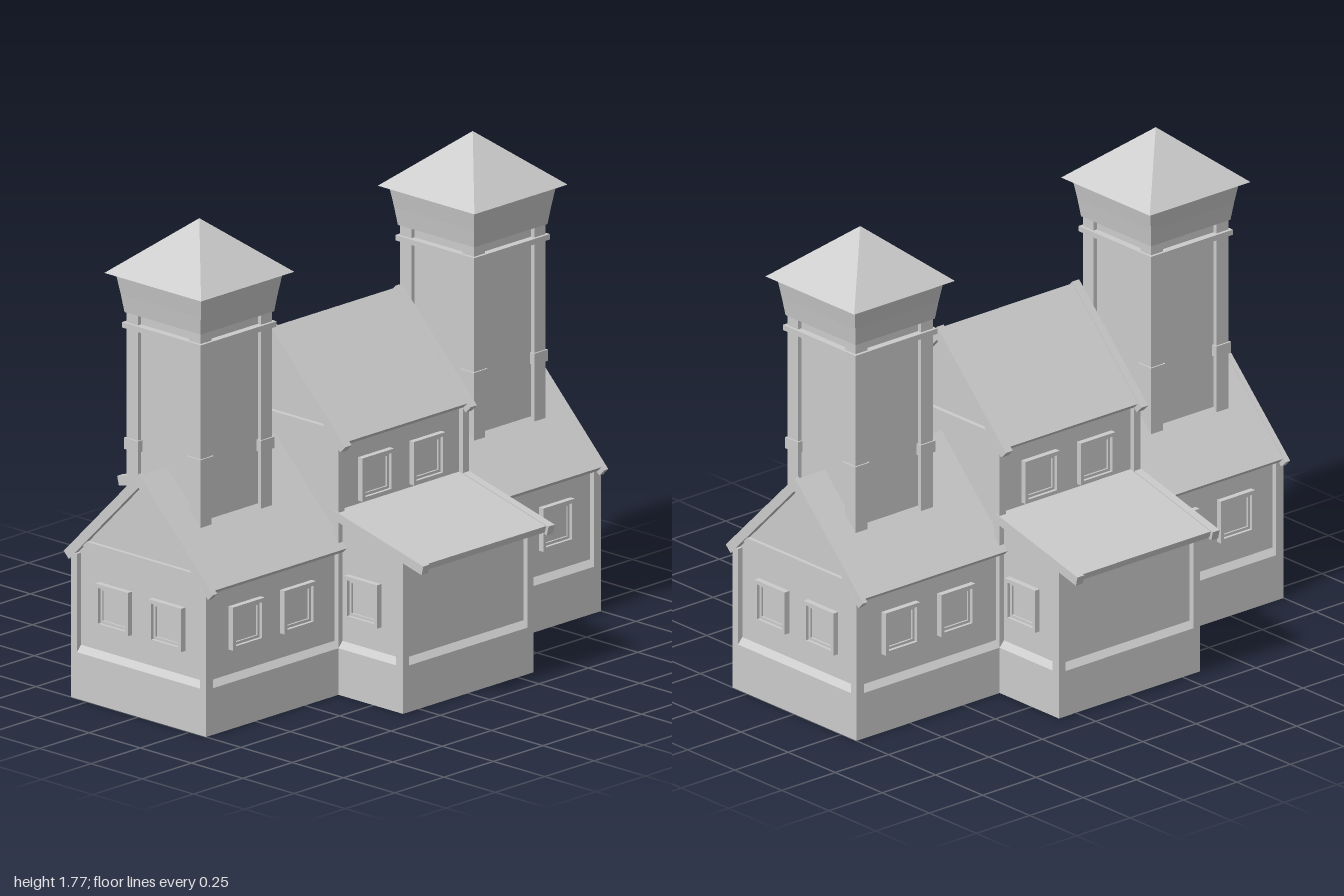
import * as THREE from 'three';

const mat = new THREE.MeshStandardMaterial({ color: 0xcccccc, flatShading: true, side: THREE.DoubleSide });

function add(parent, name, geometry) {
  const mesh = new THREE.Mesh(geometry, mat);
  mesh.name = name;
  parent.add(mesh);
  return mesh;
}

// Box given by its extents on each axis
function box(parent, name, [x0, x1], [y0, y1], [z0, z1]) {
  const g = new THREE.BoxGeometry(x1 - x0, y1 - y0, z1 - z0);
  g.translate((x0 + x1) / 2, (y0 + y1) / 2, (z0 + z1) / 2);
  return add(parent, name, g);
}

// Cross-section of [z, y] points swept along x
function sweepX(parent, name, points, x0, x1) {
  const shape = new THREE.Shape(points.map(([z, y]) => new THREE.Vector2(-z, y)));
  const g = new THREE.ExtrudeGeometry(shape, { depth: x1 - x0, bevelEnabled: false });
  g.rotateY(Math.PI / 2).translate(x0, 0, 0);
  return add(parent, name, g);
}

function squareShape(h) {
  return new THREE.Shape([[-h, -h], [h, -h], [h, h], [-h, h]].map(p => new THREE.Vector2(...p)));
}

// Square window facing +z before rotation
function addWindow(parent, x, y, z, turn = 0) {
  const win = new THREE.Group();
  win.name = 'window';
  for (const [name, outer, inner, depth] of [['windowFrame', 0.08, 0.066, 0.022], ['windowSash', 0.066, 0.056, 0.01]]) {
    const shape = squareShape(outer);
    shape.holes.push(squareShape(inner));
    add(win, name, new THREE.ExtrudeGeometry(shape, { depth, bevelEnabled: false }));
  }
  add(win, 'windowPane', new THREE.PlaneGeometry(0.112, 0.112)).position.z = 0.003;
  win.position.set(x, y, z);
  win.rotation.y = turn;
  parent.add(win);
}

// 45-degree chevron: ridge height, half span, thickness measured vertically
function chevron(ridge, span, t) {
  const e = span - t / 2, y = ridge - span - t / 2;
  return [[0, ridge], [span, ridge - span], [e, y], [0, ridge - t], [-e, y], [-span, ridge - span]];
}

function gableWall(parent, ridge, bottom, x0, x1) {
  const top = ridge - 0.03;
  sweepX(parent, 'gableWall',
    [[0.31, bottom], [0.31, top - 0.31], [0, top], [-0.31, top - 0.31], [-0.31, bottom]], x0, x1);
}

// Open-bottomed plinth following the cross-shaped plan, bevelled at its top
function plinth(parent) {
  const quarter = [[1, 0.33], [0.33, 0.33], [0.33, 0.645]];
  const plan = [
    ...quarter,
    ...quarter.map(([x, z]) => [-x, z]).reverse(),
    ...quarter.map(([x, z]) => [-x, -z]),
    ...quarter.map(([x, z]) => [x, -z]).reverse(),
  ];
  const rings = [[0, 0], [0.172, 0], [0.195, 0.02]].map(([y, inset]) =>
    plan.map(([x, z]) => [x - Math.sign(x) * inset, y, z - Math.sign(z) * inset]));
  const pos = [];
  for (let r = 0; r < rings.length - 1; r++) {
    for (let i = 0; i < plan.length; i++) {
      const j = (i + 1) % plan.length;
      const a = rings[r][i], b = rings[r][j], c = rings[r + 1][i], d = rings[r + 1][j];
      pos.push(...a, ...c, ...b, ...b, ...c, ...d);
    }
  }
  const g = new THREE.BufferGeometry();
  g.setAttribute('position', new THREE.Float32BufferAttribute(pos, 3));
  g.computeVertexNormals();
  add(parent, 'foundation', g);
}

// Four-sided frustum standing on y0
function frustum(parent, name, h0, h1, y0, y1, open = false) {
  const g = new THREE.CylinderGeometry(h1 * Math.SQRT2, h0 * Math.SQRT2, y1 - y0, 4, 1, open);
  g.rotateY(Math.PI / 4).translate(0, (y0 + y1) / 2, 0);
  return add(parent, name, g);
}

function tower() {
  const t = new THREE.Group();
  t.name = 'tower';
  box(t, 'towerShaft', [-0.165, 0.165], [0.69, 1.43], [-0.165, 0.165]);
  for (const sx of [-1, 1]) for (const sz of [-1, 1]) {
    const post = frustum(t, 'towerPost', 0.028, 0.028, 0.95, 1.43);
    post.position.set(sx * 0.153, 0, sz * 0.153);
    // Thicker foot tapering into the post
    const foot = frustum(t, 'towerPostFoot', 0.028, 0.028, 0.7, 0.92);
    foot.position.set(sx * 0.153, 0, sz * 0.153);
    const collar = frustum(t, 'towerPostCollar', 0.034, 0.034, 0.92, 0.962);
    collar.position.set(sx * 0.153, 0, sz * 0.153);
  }
  frustum(t, 'towerBand', 0.192, 0.192, 1.368, 1.388);
  frustum(t, 'capLower', 0.186, 0.195, 1.425, 1.49);
  frustum(t, 'capUpper', 0.195, 0.208, 1.49, 1.57);
  frustum(t, 'towerRoof', 0.236, 0.0001, 1.57, 1.77);
  return t;
}

// Gabled side wing reaching to +x
function wing() {
  const w = new THREE.Group();
  w.name = 'wing';
  sweepX(w, 'wingRoof', chevron(0.89, 0.35, 0.035), 0.31, 0.99);
  sweepX(w, 'wingBargeboard', chevron(0.897, 0.365, 0.05), 0.98, 1);
  gableWall(w, 0.89, 0.18, 0.97, 0.98);
  box(w, 'gableBeam', [0.975, 0.995], [0.568, 0.588], [-0.3, 0.3]);
  for (const s of [-1, 1]) {
    box(w, 'wingWall', [0.31, 0.98], [0.18, 0.555], [s * 0.305 - 0.005, s * 0.305 + 0.005]);
    box(w, 'cornerPost', [0.965, 1], [0.172, 0.535], [s * 0.315 - 0.015, s * 0.315 + 0.015]);
    for (const x of [0.525, 0.785]) addWindow(w, x, 0.367, s * 0.31, s > 0 ? 0 : Math.PI);
    addWindow(w, 0.98, 0.367, s * 0.13, Math.PI / 2);
  }
  const t = tower();
  t.position.x = 0.692;
  w.add(t);
  return w;
}

// Lean-to with a shallow roof on the +z side
function leanTo() {
  const p = new THREE.Group();
  p.name = 'leanTo';
  const roof = (z1, t, lift) => {
    const top = z => 0.672 + lift - (z - 0.33) * 0.25;
    return [[0.31, top(0.31)], [z1, top(z1)], [z1 - t * 0.25, top(z1) - t], [0.31, top(0.31) - t]];
  };
  sweepX(p, 'leanToRoof', roof(0.735, 0.024, -0.004), -0.32, 0.32);
  box(p, 'leanToWall', [-0.31, 0.31], [0.18, 0.585], [0.615, 0.625]);
  for (const s of [-1, 1]) {
    sweepX(p, 'leanToBargeboard', roof(0.747, 0.034, 0), s * 0.317 - 0.016, s * 0.317 + 0.016);
    sweepX(p, 'leanToSideWall', [[0.31, 0.18], [0.625, 0.18], [0.625, 0.58], [0.31, 0.66]],
      s * 0.305 - 0.005, s * 0.305 + 0.005);
    box(p, 'leanToPost', [s * 0.315 - 0.015, s * 0.315 + 0.015], [0.172, 0.575], [0.61, 0.645]);
    addWindow(p, s * 0.31, 0.367, 0.44, s * Math.PI / 2);
    addWindow(p, s * 0.13, 0.765, 0.31);
  }
  return p;
}

// Tall gabled block in the middle
function centreBlock() {
  const c = new THREE.Group();
  c.name = 'centreBlock';
  sweepX(c, 'centreRoof', chevron(1.283, 0.35, 0.035), -0.32, 0.32);
  for (const s of [-1, 1]) {
    sweepX(c, 'centreBargeboard', chevron(1.29, 0.367, 0.05), s * 0.317 - 0.016, s * 0.317 + 0.016);
    gableWall(c, 1.283, 0.5, s * 0.305 - 0.005, s * 0.305 + 0.005);
    box(c, 'gableBeam', [s * 0.315 - 0.012, s * 0.315 + 0.012], [0.955, 0.975], [-0.3, 0.3]);
    box(c, 'centreWall', [-0.31, 0.31], [0.5, 0.95], [s * 0.305 - 0.005, s * 0.305 + 0.005]);
    for (const sz of [-1, 1])
      box(c, 'centrePost', [s * 0.315 - 0.015, s * 0.315 + 0.015], [0.172, 0.93],
        [sz * 0.315 - 0.015, sz * 0.315 + 0.015]);
  }
  return c;
}

export function createModel() {
  const model = new THREE.Group();
  model.name = 'house';
  plinth(model);
  model.add(centreBlock());
  for (const turn of [0, Math.PI]) {
    for (const part of [wing(), leanTo()]) {
      part.rotation.y = turn;
      model.add(part);
    }
  }
  return model;
}
